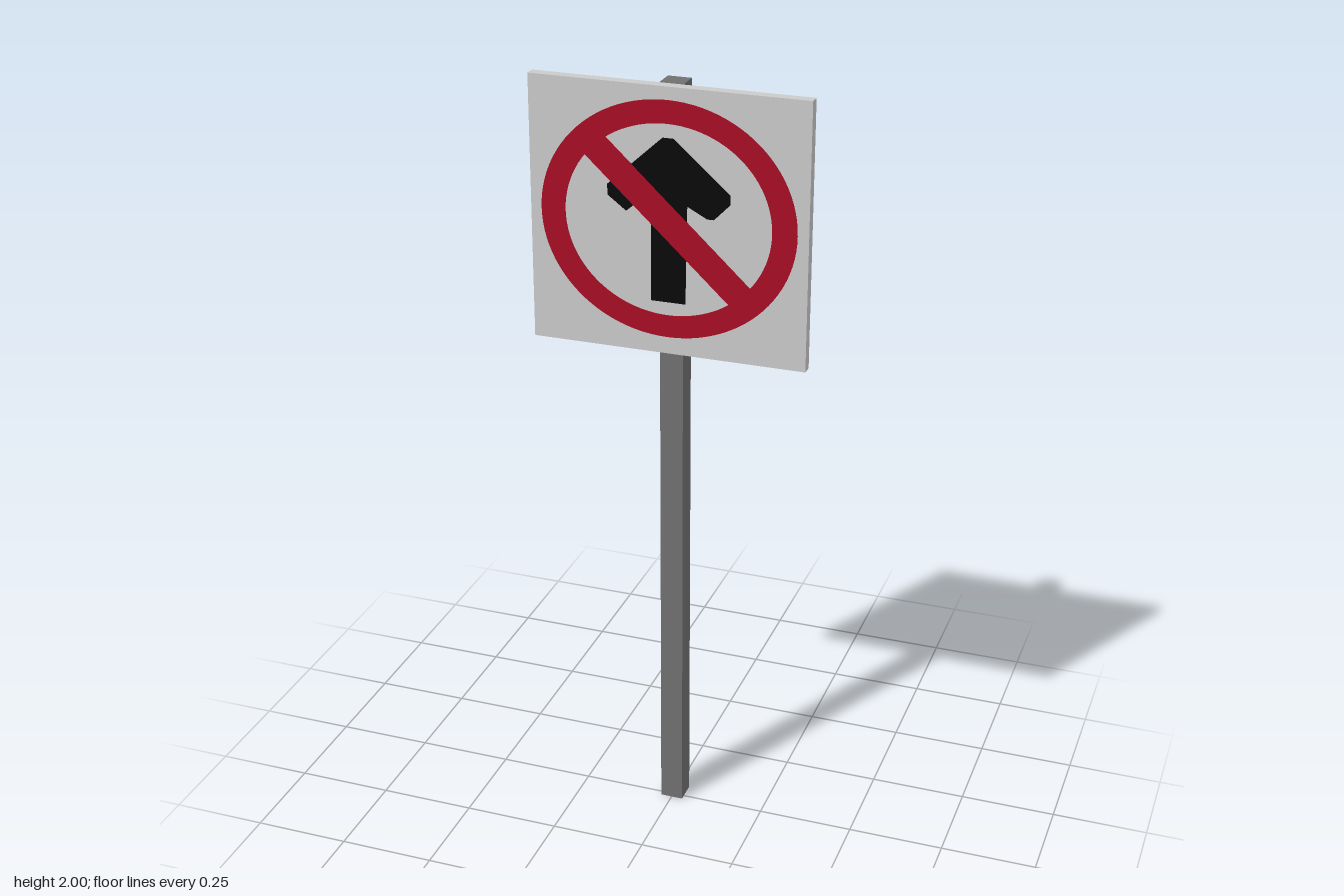
import * as THREE from 'three';

const mat = (name, color) => {
  const m = new THREE.MeshStandardMaterial({ color });
  m.name = name;
  return m;
};

export function createModel() {
  const group = new THREE.Group();
  group.name = 'roadSign';
  const postGrey = mat('post grey', 0x707070);
  const panelGrey = mat('panel grey', 0xcacaca);
  const red = mat('sign red', 0xa80d24);
  const black = mat('arrow black', 0x0a0a0a);

  const CENTER_Y = 1.67;
  const FACE_Z = 0.043;

  const add = (name, geometry, material, x, y, z) => {
    const mesh = new THREE.Mesh(geometry, material);
    mesh.name = name;
    mesh.position.set(x, y, z);
    group.add(mesh);
  };
  // Thin painted plate on the panel's front
  const paint = (name, shape, material, depth) =>
    add(name, new THREE.ExtrudeGeometry(shape, { depth, bevelEnabled: false, curveSegments: 48 }),
      material, 0, CENTER_Y, FACE_Z);

  // Square post and flat panel
  add('post', new THREE.BoxGeometry(0.06, 2, 0.06), postGrey, 0, 1, -0.015);
  add('panel', new THREE.BoxGeometry(0.704, 0.672, 0.028), panelGrey, 0, 1.664, 0.029);

  // Slightly wide prohibition ring
  const ring = new THREE.Shape().absellipse(0, 0, 0.324, 0.298, 0, Math.PI * 2);
  ring.holes.push(new THREE.Path().absellipse(0, 0, 0.262, 0.241, 0, Math.PI * 2, true));
  paint('ring', ring, red, 0.002);

  // Diagonal bar from upper left to lower right, ends tucked into the ring
  const dir = new THREE.Vector2(0.733, -0.68).normalize();
  const corner = (along, across) => new THREE.Vector2(
    dir.x * along - dir.y * across, dir.y * along + dir.x * across);
  const L = 0.275, W = 0.036;
  paint('diagonalBar', new THREE.Shape(
    [corner(-L, -W), corner(L, -W), corner(L, W), corner(-L, W)]), red, 0.002);

  // Upward arrow beneath the bar
  const arrow = [
    [-0.012, 0.206], [0.015, 0.206], [0.157, 0.082], [0.157, 0.058], [0.117, 0.017],
    [0.1, 0.017], [0.05, 0.043], [0.046, -0.207], [-0.043, -0.207], [-0.041, 0.04],
    [-0.075, 0.04], [-0.105, 0.015], [-0.152, 0.05], [-0.153, 0.077],
  ].map(([x, y]) => new THREE.Vector2(x, y));
  paint('arrow', new THREE.Shape(arrow), black, 0.001);

  return group;
}
